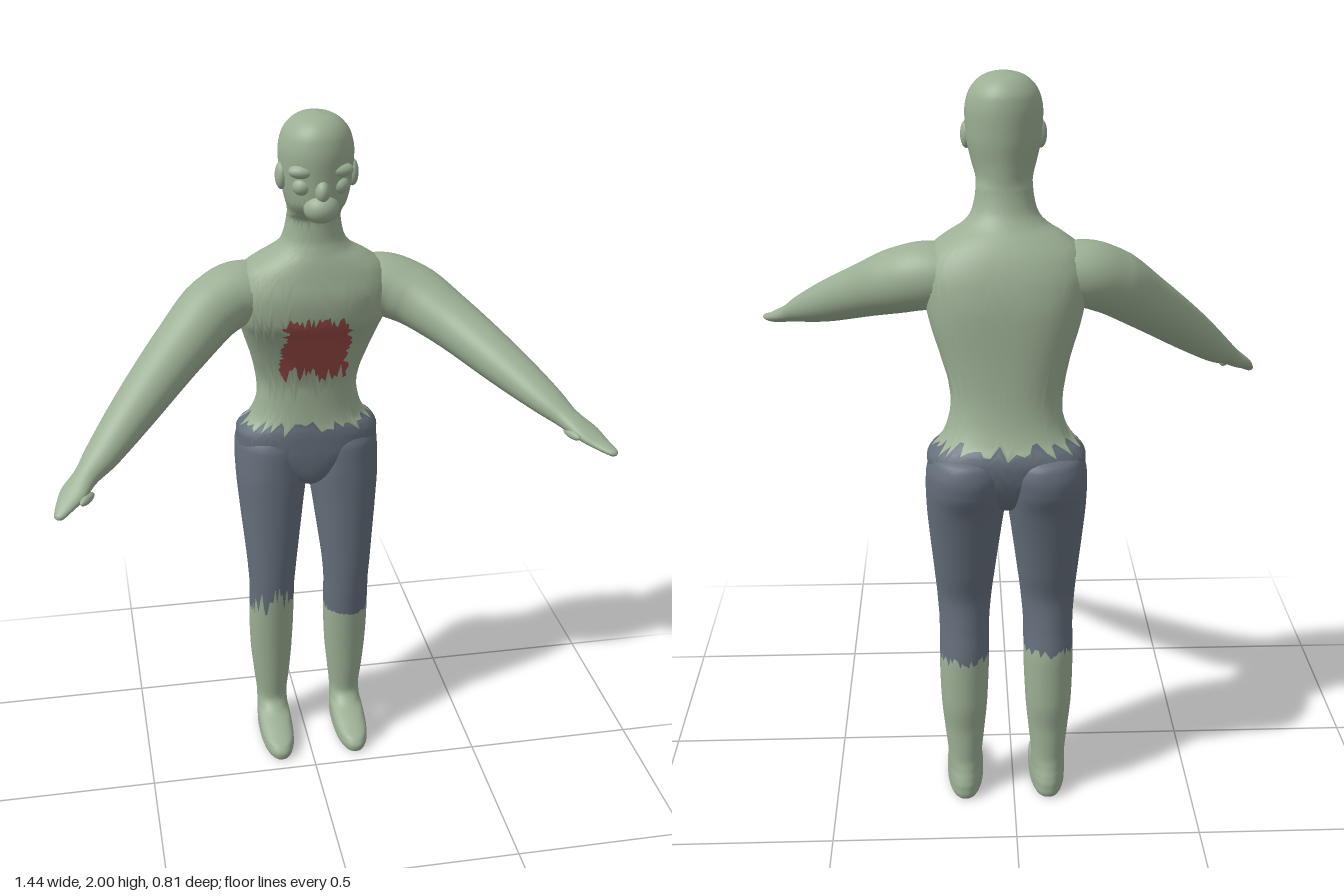
import * as THREE from 'three';

const CX = 0.02; // body axis
const COLS = 72;
const hash = (i, s = 0) => { const v = Math.sin(i * 12.9898 + s * 78.233) * 43758.5453; return v - Math.floor(v); };
const spow = (v, p) => Math.sign(v) * Math.pow(Math.abs(v), p);

// Smooth, overshoot-free interpolation of table rows at fractional index t
function sample(rows, t) {
  const last = rows.length - 1;
  const i = Math.min(Math.floor(Math.max(t, 0)), last - 1), f = t - i;
  const slope = (k, c) => {
    const d = (n) => rows[n + 1][c] - rows[n][c];
    if (k === 0) return d(0);
    if (k === last) return d(last - 1);
    const a = d(k - 1), b = d(k);
    return a * b > 0 ? 2 * a * b / (a + b) : 0;
  };
  const f2 = f * f, f3 = f2 * f;
  return rows[i].map((p, c) => p * (2 * f3 - 3 * f2 + 1) + rows[i + 1][c] * (3 * f2 - 2 * f3)
    + slope(i, c) * (f3 - 2 * f2 + f) + slope(i + 1, c) * (f3 - f2));
}

// Index at which column 0 (height) reaches y
function indexAt(rows, y) {
  let lo = 0, hi = rows.length - 1;
  for (let k = 0; k < 30; k++) {
    const m = (lo + hi) / 2;
    if (sample(rows, m)[0] < y) lo = m; else hi = m;
  }
  return lo;
}

// Upright surface from rows of [y, centre x, half width, front z, back z, squareness]
const upright = (rows) => (t, a) => {
  const [y, x, w, zf, zb, n] = sample(rows, t);
  return new THREE.Vector3(x + w * spow(Math.cos(a), 2 / n), y, (zf + zb) / 2 + (zf - zb) / 2 * spow(Math.sin(a), 2 / n));
};

// Limb surface from rows of [x, y, z, sideways radius, upright radius]
const limb = (rows) => (t, a) => {
  const last = rows.length - 1;
  const s = sample(rows, t), p = sample(rows, Math.max(t - 0.3, 0)), q = sample(rows, Math.min(t + 0.3, last));
  const dir = new THREE.Vector3(q[0] - p[0], q[1] - p[1], q[2] - p[2]).normalize();
  const side = dir.clone().cross(new THREE.Vector3(0, 1, 0)).normalize();
  const up = side.clone().cross(dir);
  return new THREE.Vector3(s[0], s[1], s[2]).addScaledVector(side, s[3] * Math.cos(a)).addScaledVector(up, s[4] * Math.sin(a));
};

// Mesh of the surface between two (possibly ragged) edges; from and to give the index for a column
function skinned(name, surface, from, to, rowsCount, material) {
  const pos = [], nor = [], idx = [];
  for (let r = 0; r <= rowsCount; r++) {
    for (let c = 0; c <= COLS; c++) {
      const k = c % COLS, a = k / COLS * Math.PI * 2;
      const t = from(k) + (to(k) - from(k)) * r / rowsCount;
      const p = surface(t, a), e = 0.03;
      const dt = surface(Math.min(t + e, to.max), a).sub(surface(Math.max(t - e, 0), a));
      const da = surface(t, a + 0.06).sub(surface(t, a - 0.06));
      const n = dt.cross(da).normalize();
      pos.push(p.x, p.y, p.z);
      nor.push(n.x, n.y, n.z);
      if (r < rowsCount && c < COLS) {
        const i = r * (COLS + 1) + c, j = i + COLS + 1;
        idx.push(i, j, i + 1, i + 1, j, j + 1);
      }
    }
  }
  const g = new THREE.BufferGeometry();
  g.setAttribute('position', new THREE.Float32BufferAttribute(pos, 3));
  g.setAttribute('normal', new THREE.Float32BufferAttribute(nor, 3));
  g.setIndex(idx);
  const mesh = new THREE.Mesh(g, material);
  mesh.name = name;
  return mesh;
}
const edge = (fn, max) => Object.assign(fn, { max });

export function createModel() {
  const skin = new THREE.MeshStandardMaterial({ color: 0x9caf94 });
  skin.name = 'green skin';
  const cloth = new THREE.MeshStandardMaterial({ color: 0x656f7b });
  cloth.name = 'grey cloth';
  const wound = new THREE.MeshStandardMaterial({ color: 0x984a46, side: THREE.DoubleSide });
  wound.name = 'red wound';
  const model = new THREE.Group();
  model.name = 'figure';

  // Hips, torso, neck and head as one surface, split at a ragged waistline
  const body = [
    [0.87, CX, 0.001, -0.22, -0.23, 2], [0.895, CX, 0.05, -0.175, -0.32, 2], [0.94, CX, 0.13, -0.16, -0.36, 2.2],
    [1.0, CX, 0.205, -0.155, -0.385, 2.5], [1.04, CX, 0.207, -0.155, -0.39, 2.5], [1.065, CX, 0.195, -0.156, -0.385, 2.4],
    [1.09, CX, 0.166, -0.16, -0.37, 2.3], [1.14, CX, 0.148, -0.162, -0.352, 2.2], [1.2, CX, 0.14, -0.16, -0.342, 2.2],
    [1.3, CX, 0.168, -0.128, -0.336, 2.3], [1.38, CX, 0.193, -0.09, -0.334, 2.5], [1.43, CX, 0.205, -0.058, -0.332, 2.6],
    [1.5, CX, 0.215, -0.05, -0.32, 2.6], [1.56, CX, 0.198, -0.06, -0.298, 2.4], [1.6, CX, 0.152, -0.07, -0.272, 2.2],
    [1.63, CX, 0.104, -0.08, -0.245, 2], [1.66, CX, 0.083, -0.088, -0.225, 2], [1.71, CX, 0.073, -0.09, -0.212, 2],
    [1.735, CX, 0.072, -0.06, -0.21, 2], [1.775, CX, 0.083, -0.017, -0.212, 2], [1.84, CX, 0.096, -0.01, -0.22, 2],
    [1.9, CX, 0.099, -0.005, -0.222, 2], [1.94, CX, 0.092, -0.01, -0.218, 2], [1.97, CX, 0.074, -0.025, -0.202, 2],
    [1.99, CX, 0.045, -0.055, -0.172, 2], [2.0, CX, 0.001, -0.111, -0.113, 2],
  ];
  const top = body.length - 1, bodySurface = upright(body);
  const waist = edge((c) => indexAt(body, 1.055 + 0.045 * hash(c, 1)), top);
  model.add(skinned('torsoAndHead', bodySurface, waist, edge(() => top, top), 80, skin));
  model.add(skinned('trouserHips', bodySurface, () => 0, waist, 24, cloth));

  // Legs with feet, each split at a ragged trouser cuff
  const legRows = [
    [0, 0.117, 0.001, -0.18, -0.19, 2], [0, 0.117, 0.042, -0.045, -0.32, 2.3], [0.02, 0.117, 0.051, -0.038, -0.33, 2.4],
    [0.04, 0.117, 0.051, -0.05, -0.33, 2.4], [0.062, 0.117, 0.05, -0.11, -0.325, 2.2], [0.085, 0.117, 0.047, -0.18, -0.317, 2],
    [0.12, 0.117, 0.047, -0.208, -0.31, 2], [0.2, 0.117, 0.055, -0.2, -0.31, 2], [0.3, 0.117, 0.064, -0.19, -0.32, 2],
    [0.42, 0.116, 0.068, -0.175, -0.32, 2], [0.52, 0.115, 0.068, -0.163, -0.308, 2], [0.6, 0.114, 0.073, -0.158, -0.302, 2],
    [0.7, 0.112, 0.083, -0.156, -0.325, 2.1], [0.8, 0.11, 0.094, -0.155, -0.35, 2.1], [0.9, 0.107, 0.104, -0.155, -0.378, 2.2],
    [0.96, 0.105, 0.107, -0.156, -0.402, 2.1], [1.0, 0.102, 0.108, -0.158, -0.408, 2.1], [1.035, 0.1, 0.1, -0.17, -0.402, 2],
    [1.06, 0.1, 0.07, -0.2, -0.36, 2], [1.07, 0.1, 0.001, -0.28, -0.282, 2],
  ];
  for (const [side, s] of [['left', 1], ['right', -1]]) {
    const rows = legRows.map(([y, x, ...rest]) => [y, CX + s * x, ...rest]);
    const end = rows.length - 1, surface = upright(rows);
    const cuff = edge((c) => {
      const front = Math.max(0, Math.sin(c / COLS * Math.PI * 2));
      const ragged = s < 0 ? 0.03 + 0.09 * front : 0.03 - 0.02 * front;
      return indexAt(rows, 0.42 + (s < 0 ? 0.02 : 0) + ragged * hash(c, 3 + s));
    }, end);
    model.add(skinned(side + 'LowerLegAndFoot', surface, () => 0, cuff, 44, skin));
    model.add(skinned(side + 'TrouserLeg', surface, cuff, edge(() => end, end), 40, cloth));
  }

  // Arms tapering to flat hands, the two sides posed differently
  const arms = {
    left: [[0.1, 1.5, -0.19, 0.001, 0.001], [0.14, 1.5, -0.19, 0.08, 0.07], [0.22, 1.495, -0.18, 0.092, 0.088],
      [0.29, 1.475, -0.15, 0.09, 0.085], [0.38, 1.425, -0.06, 0.078, 0.072], [0.5, 1.345, 0.1, 0.063, 0.056],
      [0.58, 1.29, 0.215, 0.048, 0.038], [0.622, 1.26, 0.275, 0.035, 0.026], [0.655, 1.24, 0.315, 0.038, 0.02],
      [0.685, 1.222, 0.36, 0.026, 0.013], [0.708, 1.212, 0.398, 0.012, 0.008], [0.712, 1.21, 0.404, 0.001, 0.001]],
    right: [[-0.06, 1.5, -0.19, 0.001, 0.001], [-0.1, 1.5, -0.19, 0.08, 0.07], [-0.185, 1.495, -0.18, 0.092, 0.088],
      [-0.25, 1.47, -0.155, 0.09, 0.087], [-0.36, 1.385, -0.075, 0.08, 0.075], [-0.5, 1.265, 0.045, 0.064, 0.058],
      [-0.59, 1.185, 0.125, 0.049, 0.04], [-0.635, 1.15, 0.168, 0.036, 0.027], [-0.665, 1.125, 0.197, 0.04, 0.021],
      [-0.692, 1.102, 0.228, 0.028, 0.014], [-0.712, 1.082, 0.252, 0.012, 0.008], [-0.715, 1.079, 0.256, 0.001, 0.001]],
  };
  for (const [side, rows] of Object.entries(arms)) {
    const end = rows.length - 1;
    model.add(skinned(side + 'Arm', limb(rows), () => 0, edge(() => end, end), 55, skin));
  }

  // Rounded face details and thumbs
  const ball = new THREE.SphereGeometry(1, 24, 16);
  const blob = (name, x, y, z, rx, ry, rz) => {
    const m = new THREE.Mesh(ball, skin);
    m.name = name;
    m.position.set(x, y, z);
    m.scale.set(rx, ry, rz);
    model.add(m);
    return m;
  };
  blob('muzzle', CX, 1.768, -0.035, 0.047, 0.04, 0.046);
  blob('nose', CX, 1.815, -0.02, 0.02, 0.03, 0.028);
  for (const s of [1, -1]) {
    blob('brow', CX + s * 0.045, 1.865, -0.04, 0.04, 0.02, 0.028);
    blob('eye', CX + s * 0.048, 1.825, -0.042, 0.026, 0.024, 0.026);
    blob('ear', CX + s * 0.094, 1.84, -0.1, 0.016, 0.036, 0.026);
  }
  blob('leftThumb', 0.618, 1.238, 0.318, 0.012, 0.012, 0.034).rotation.y = 0.3;
  blob('rightThumb', -0.635, 1.115, 0.222, 0.012, 0.012, 0.034).rotation.y = -0.5;

  // Ragged wound laid just over the chest
  const nu = 28, nv = 22;
  const patch = new THREE.PlaneGeometry(2, 2, nu, nv);
  const pp = patch.attributes.position;
  for (let i = 0; i < pp.count; i++) {
    const c = i % (nu + 1), r = Math.floor(i / (nu + 1));
    const u = pp.getX(i), v = pp.getY(i);
    const reach = 0.078 + 0.024 * hash(r, u > 0 ? 5 : 6) * Math.abs(u) ** 3;
    const y = 1.345 + v * (v > 0 ? 0.08 + 0.035 * hash(c, 7) * v * v : 0.06 + 0.06 * hash(c, 8) * v * v);
    const x = u * reach;
    const [, , w, zf, zb, n] = sample(body, indexAt(body, y));
    const z = (zf + zb) / 2 + (zf - zb) / 2 * Math.pow(1 - Math.pow(Math.abs(x) / w, n), 1 / n);
    pp.setXYZ(i, CX + x, y, z + 0.005);
  }
  patch.computeVertexNormals();
  const woundMesh = new THREE.Mesh(patch, wound);
  woundMesh.name = 'chestWound';
  model.add(woundMesh);

  return model;
}
